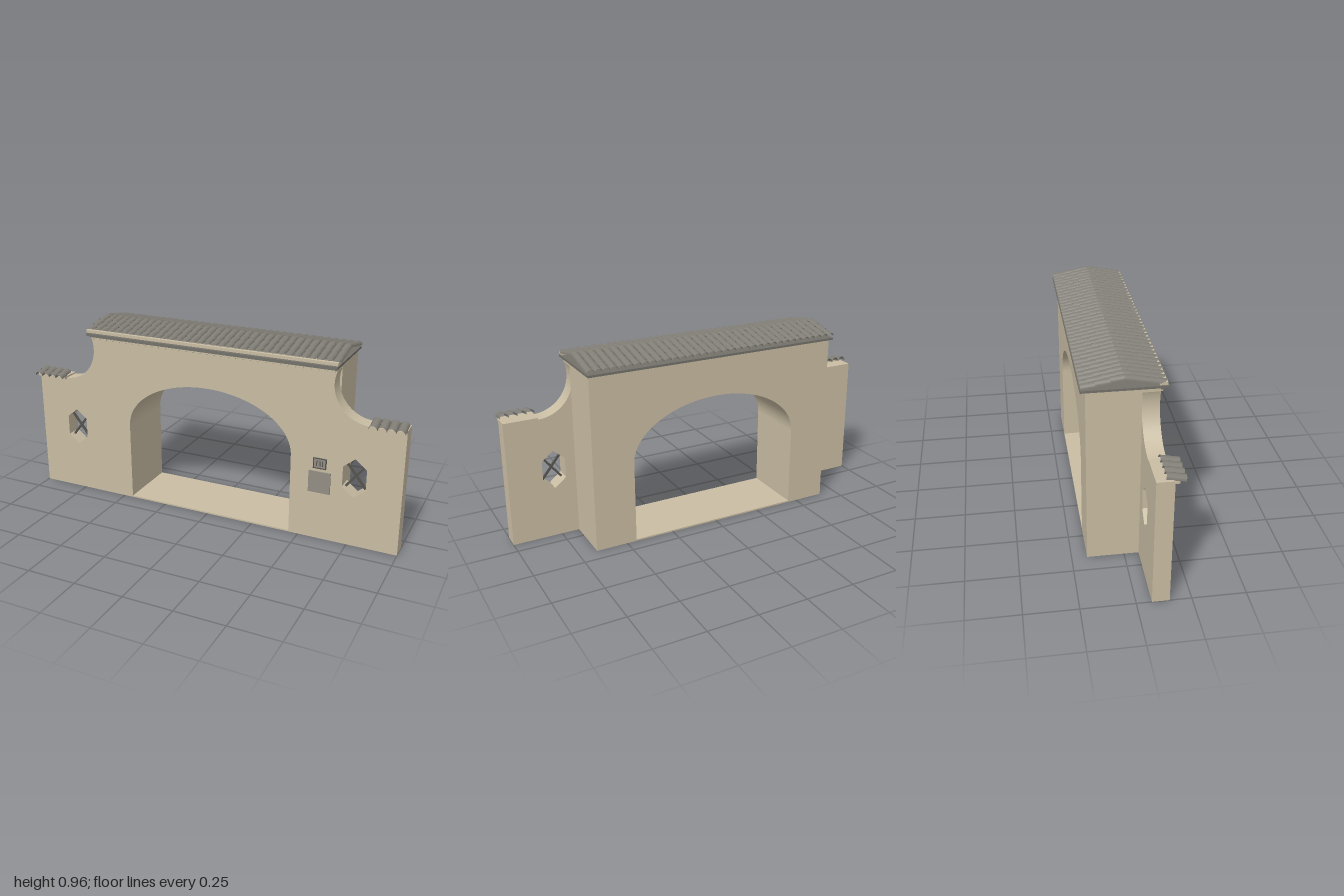
import * as THREE from 'three';
import { mergeGeometries } from 'three/addons/utils/BufferGeometryUtils.js';

const mat = (name, color, side = THREE.FrontSide) => {
  const m = new THREE.MeshStandardMaterial({ color, side });
  m.name = name;
  return m;
};

export function createModel() {
  const plaster = mat('plaster', 0xc9bda3);
  const tileGrey = mat('roofTile', 0x817e76, THREE.DoubleSide);
  const eaveGrey = mat('eaveGrey', 0x74716a);
  const plaqueGrey = mat('plaqueGrey', 0x928e83);
  const iron = mat('darkIron', 0x55534e);

  const model = new THREE.Group();
  model.name = 'archedGateway';

  const add = (name, geo, material, parent = model) => {
    const mesh = new THREE.Mesh(geo, material);
    mesh.name = name;
    parent.add(mesh);
    return mesh;
  };
  // Box given by its limits on each axis
  const box = (name, x0, x1, y0, y1, z0, z1, material, parent) => {
    const m = add(name, new THREE.BoxGeometry(x1 - x0, y1 - y0, z1 - z0), material, parent);
    m.position.set((x0 + x1) / 2, (y0 + y1) / 2, (z0 + z1) / 2);
    return m;
  };
  const extrude = (shape, z0, z1) =>
    new THREE.ExtrudeGeometry(shape, { depth: z1 - z0, bevelEnabled: false, curveSegments: 32 }).translate(0, 0, z0);

  // Elliptical archway, traced from the right foot to the left foot and back along the ground
  const archBottom = (shape) => {
    shape.lineTo(-0.45, 0);
    shape.lineTo(-0.45, 0.42);
    shape.absellipse(0, 0.42, 0.45, 0.27, Math.PI, 0, true);
    shape.lineTo(0.45, 0);
  };

  // Front wall with scooped shoulders and hexagonal windows
  const front = new THREE.Shape();
  const a = Math.acos(-0.17 / 0.18);
  front.moveTo(-1, 0);
  archBottom(front);
  front.lineTo(1, 0);
  front.lineTo(1, 0.63);
  front.lineTo(0.83, 0.63);
  front.absarc(0.83, 0.81, 0.18, 1.5 * Math.PI, a, true);
  front.lineTo(0.66, 0.885);
  front.lineTo(-0.66, 0.885);
  front.absarc(-0.83, 0.81, 0.18, Math.PI - a, -Math.PI / 2, true);
  front.lineTo(-1, 0.63);
  front.closePath();
  const windows = [-0.78, 0.77];
  for (const x of windows) {
    const hex = [[0, 0.1], [0.058, 0.052], [0.058, -0.052], [0, -0.1], [-0.058, -0.052], [-0.058, 0.052]];
    front.holes.push(new THREE.Path(hex.map(([u, v]) => new THREE.Vector2(x + u, 0.357 + v))));
  }
  add('frontWall', extrude(front, 0.07, 0.15), plaster);

  // Deep gatehouse body behind the wall
  const body = new THREE.Shape();
  body.moveTo(-0.66, 0);
  archBottom(body);
  body.lineTo(0.66, 0);
  body.lineTo(0.66, 0.885);
  body.lineTo(-0.66, 0.885);
  body.closePath();
  add('gatehouseBody', extrude(body, -0.177, 0.07), plaster);
  box('passageFloor', -0.45, 0.45, 0, 0.008, -0.177, 0.15, plaster);

  // Crossed window bars
  for (const x of windows) {
    for (const s of [-1, 1]) {
      const bar = box('windowBar', -0.005, 0.005, -0.077, 0.077, -0.005, 0.005, iron);
      bar.position.set(x, 0.357, 0.115);
      bar.rotation.z = s * Math.atan2(0.058, 0.052) * 0.8;
    }
  }

  // Notice plate and small framed intercom box
  box('plaque', 0.545, 0.655, 0.25, 0.36, 0.149, 0.157, plaqueGrey);
  box('intercomBox', 0.567, 0.632, 0.378, 0.432, 0.149, 0.157, plaqueGrey);
  for (const x of [0.567, 0.628]) box('intercomFrame', x, x + 0.004, 0.378, 0.432, 0.157, 0.161, iron);
  for (const y of [0.378, 0.428]) box('intercomFrame', 0.571, 0.628, y, y + 0.004, 0.157, 0.161, iron);
  for (const x of [0.583, 0.599, 0.612]) box('intercomGrille', x, x + 0.004, 0.391, 0.418, 0.157, 0.16, iron);

  // Cornice and eaves
  box('corniceMoulding', -0.655, 0.655, 0.872, 0.882, 0.14, 0.162, plaster);
  box('corniceStrip', -0.66, 0.66, 0.878, 0.889, 0.138, 0.165, eaveGrey);
  box('eaveSlab', -0.67, 0.67, 0.889, 0.9, -0.2, 0.184, eaveGrey);
  box('eaveBatten', -0.67, 0.67, 0.904, 0.919, 0.143, 0.178, plaster);
  for (let i = 0; i < 35; i++) {
    const x = -0.646 + i * 0.038;
    box('dentil', x - 0.005, x + 0.005, 0.865, 0.872, 0.15, 0.16, plaster);
  }

  // Half-round tile running down +z; its lower lip may be cut back at the sides
  const tile = (x, z0, z1, r, h, cut = 0) => {
    const g = new THREE.PlaneGeometry(1, 1, 10, 1);
    const p = g.attributes.position;
    for (let i = 0; i < p.count; i++) {
      const t = p.getX(i) * Math.PI;
      const low = p.getY(i) < 0;
      const arch = Math.cos(t);
      p.setXYZ(i, x + r * Math.sin(t), h * (arch - 1) + (low ? 0.001 : -0.002),
        low ? z1 - cut * (1 - arch) : z0);
    }
    g.computeVertexNormals();
    return g;
  };

  // Main roof: two slopes of staggered tile courses
  const columns = 35, pitch = 1.35 / columns, slopeLength = 0.194, course = slopeLength / 3;
  for (const side of [1, -1]) {
    const tiles = [];
    for (let c = 0; c < columns; c++) {
      const x = (c - (columns - 1) / 2) * pitch;
      const joints = c % 2 ? [0, 0.5, 1.5, 2.5, 3] : [0, 1, 2, 3];
      for (let j = 0; j < joints.length - 1; j++) {
        const last = j === joints.length - 2;
        tiles.push(tile(x, Math.max(0, joints[j] * course - 0.006), joints[j + 1] * course,
          pitch / 2, 0.018, last && side > 0 ? 0.034 : 0));
      }
    }
    const slope = new THREE.Group();
    slope.name = side > 0 ? 'frontRoofSlope' : 'backRoofSlope';
    slope.position.set(0, 0.963, -0.01);
    slope.rotation.y = side > 0 ? 0 : Math.PI;
    add('roofTiles', mergeGeometries(tiles), tileGrey, slope).rotation.x = 0.2;
    model.add(slope);
  }

  // Caps and short tiled canopies on the wings
  for (const s of [-1, 1]) {
    const cx = s * 0.915;
    box('wingCap', cx - 0.085, cx + 0.085, 0.625, 0.638, 0.07, 0.17, plaster);
    const tiles = [];
    for (let c = 0; c < 4; c++) {
      const x = (c - 1.5) * 0.0425;
      tiles.push(tile(x, 0, 0.046, 0.02125, 0.021), tile(x, 0.04, 0.087, 0.02125, 0.021));
    }
    const canopy = add('wingTiles', mergeGeometries(tiles), tileGrey);
    canopy.position.set(cx, 0.672, 0.115);
    canopy.rotation.x = 0.22;
  }

  return model;
}
